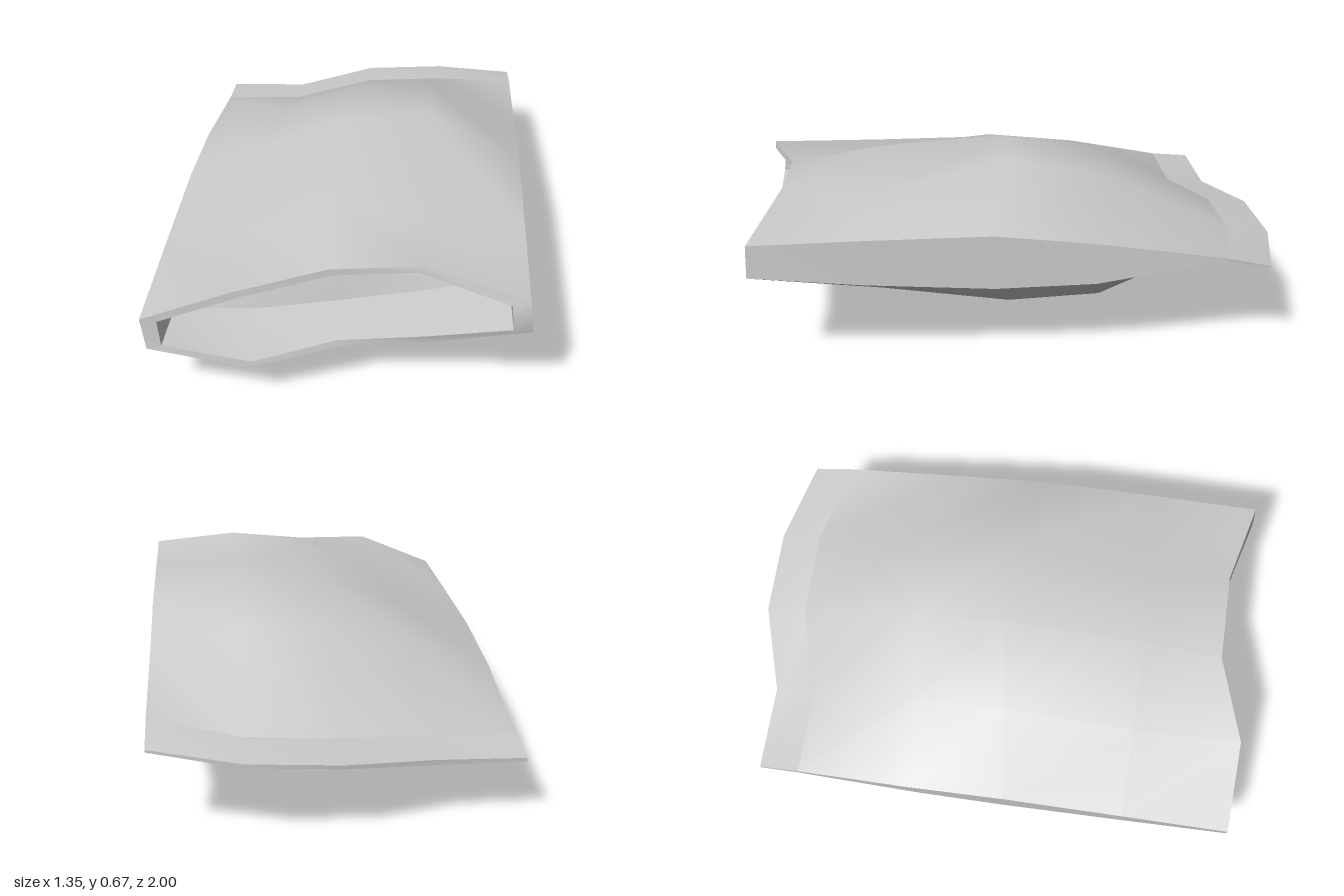
import * as THREE from 'three';

const material = new THREE.MeshStandardMaterial({ color: 0xcccccc, side: THREE.DoubleSide });

// Smooth sheet through rows of points; flip turns the face side over.
function sheet(name, rows, flip = false) {
  const n = rows[0].length;
  const index = [];
  for (let i = 0; i < rows.length - 1; i++) {
    for (let j = 0; j < n - 1; j++) {
      const a = i * n + j, b = a + 1, c = b + n, d = a + n;
      index.push(...(flip ? [a, d, b, b, d, c] : [a, b, d, b, c, d]));
    }
  }
  const geometry = new THREE.BufferGeometry();
  geometry.setAttribute('position', new THREE.Float32BufferAttribute(rows.flat(2), 3));
  geometry.setIndex(index);
  geometry.computeVertexNormals();
  const mesh = new THREE.Mesh(geometry, material);
  mesh.name = name;
  return mesh;
}

// One row across the bag, from -x to +x.
const row = (xs, ys, zs) => xs.map((x, i) => [x, ys[i], zs[i]]);
const column = (rows, j) => rows.map((r) => r[j]);

export function createModel() {
  const group = new THREE.Group();
  group.name = 'openBag';

  const topX = [-0.675, -0.35, -0.03, 0.3, 0.655];
  const bottomX = [-0.657, -0.3, 0.035, 0.36, 0.67];
  const seamX = [-0.66, -0.33, 0, 0.335, 0.66];
  const seamZ = [-0.74, -0.74, -0.84, -0.84, -0.75];
  const endZ = [-0.9, -0.9, -1, -1, -0.915];

  // Cross-sections from the mouth to the start of the seam, dented behind the mouth
  const top = [
    row(topX, [0.375, 0.515, 0.55, 0.585, 0.525], [0.985, 0.985, 0.88, 0.88, 0.975]),
    row(topX, [0.38, 0.468, 0.605, 0.532, 0.53], [0.57, 0.57, 0.57, 0.57, 0.57]),
    row(topX, [0.38, 0.52, 0.635, 0.672, 0.53], [0.1, 0.06, 0.02, 0.02, 0.1]),
    row(topX, [0.345, 0.48, 0.57, 0.59, 0.485], [-0.28, -0.3, -0.36, -0.37, -0.27]),
    row(seamX, [0.275, 0.29, 0.34, 0.365, 0.41], seamZ),
  ];
  const bottom = [
    row(bottomX, [0.255, 0.19, 0.225, 0.265, 0.405], [1, 1, 0.895, 0.895, 0.98]),
    row(bottomX, [0.215, 0.13, 0.135, 0.172, 0.36], [0.57, 0.57, 0.52, 0.52, 0.57]),
    row(bottomX, [0.18, 0.062, 0.018, 0.095, 0.325], [0.1, 0.08, 0.03, 0.03, 0.1]),
    row(bottomX, [0.18, 0, 0.035, 0.11, 0.33], [-0.25, -0.24, -0.33, -0.33, -0.27]),
    row(seamX, [0.25, 0.22, 0.27, 0.325, 0.4], seamZ),
  ];

  // Flat pressed seam at the back
  const seamTop = row(seamX, [0.26, 0.27, 0.322, 0.345, 0.372], endZ);
  const seamBottom = row(seamX, [0.246, 0.25, 0.307, 0.33, 0.362], endZ);

  group.add(
    sheet('topPanel', top),
    sheet('bottomPanel', bottom, true),
    sheet('leftSide', [column(bottom, 4), column(top, 4)]),
    sheet('rightSide', [column(bottom, 0), column(top, 0)], true),
    sheet('seamTop', [top[4], seamTop]),
    sheet('seamBottom', [bottom[4], seamBottom], true),
    sheet('seamEnd', [seamBottom, seamTop], true),
  );
  for (const j of [0, 4]) {
    group.add(sheet('seamSide', [[bottom[4][j], seamBottom[j]], [top[4][j], seamTop[j]]], j === 0));
  }

  // Rim around the mouth
  const innerTop = row([-0.615, -0.33, -0.02, 0.28, 0.595], [0.368, 0.493, 0.525, 0.556, 0.505],
    [0.985, 0.985, 0.88, 0.88, 0.97]);
  const innerBottom = row([-0.605, -0.29, 0, 0.32, 0.605], [0.27, 0.215, 0.245, 0.285, 0.405],
    [0.995, 0.995, 0.895, 0.895, 0.975]);
  const loop = (low, high) => [...low, ...[...high].reverse(), low[0]];
  group.add(sheet('rim', [loop(bottom[0], top[0]), loop(innerBottom, innerTop)]));

  // Pocket inside the mouth, closed by a steep wall
  const floorBack = row([-0.6, -0.3, 0.01, 0.31, 0.6], [0.272, 0.257, 0.268, 0.3, 0.407],
    [0.8, 0.76, 0.7, 0.66, 0.7]);
  const ceilingBack = row([-0.61, -0.31, -0.02, 0.3, 0.59], [0.345, 0.39, 0.48, 0.46, 0.495],
    [0.77, 0.72, 0.65, 0.61, 0.67]);
  group.add(
    sheet('pocketCeiling', [innerTop, ceilingBack], true),
    sheet('pocketFloor', [innerBottom, floorBack]),
    sheet('pocketWall', [floorBack, ceilingBack]),
  );
  for (const j of [0, 4]) {
    group.add(sheet('pocketSide', [[innerBottom[j], floorBack[j]], [innerTop[j], ceilingBack[j]]], j === 4));
  }
  return group;
}
